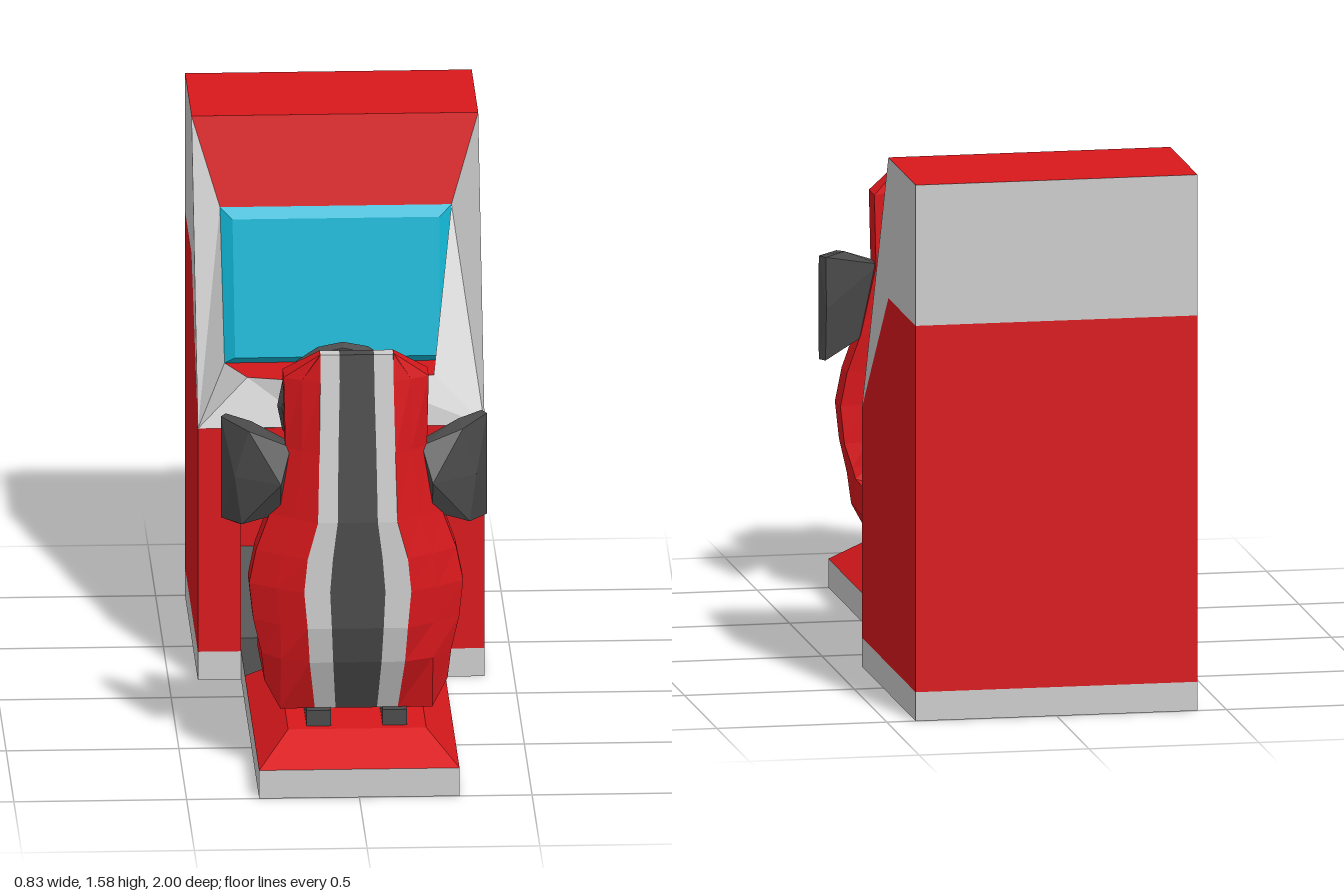
import * as THREE from 'three';
import { ConvexGeometry } from 'three/addons/geometries/ConvexGeometry.js';

const mat = (color) => new THREE.MeshStandardMaterial({ color, flatShading: true, side: THREE.DoubleSide });
const RED = mat(0xd8181c), GREY = mat(0xcccccc), DARK = mat(0x4a4a4a), TEAL = mat(0x10b4d2);

const flip = (pts) => pts.map(([x, y, z]) => [-x, y, z]).reverse();

// Geometry from flat convex polygons, each split as a fan
function fans(polys) {
  const pos = [];
  for (const p of polys)
    for (let i = 1; i < p.length - 1; i++) pos.push(...p[0], ...p[i], ...p[i + 1]);
  const g = new THREE.BufferGeometry();
  g.setAttribute('position', new THREE.Float32BufferAttribute(pos, 3));
  g.computeVertexNormals();
  return g;
}

function add(parent, name, geometry, material, x = 0, y = 0, z = 0) {
  const m = new THREE.Mesh(geometry, material);
  m.name = name;
  m.position.set(x, y, z);
  parent.add(m);
  return m;
}

const panels = (parent, name, material, ...polys) => add(parent, name, fans(polys), material);
const pair = (parent, name, material, ...polys) =>
  panels(parent, name, material, ...polys, ...polys.map(flip));
// Polygon symmetric about x = 0, given its +x half from bottom to top
const sym = (...half) => [...half, ...flip(half)];

function buildCabinet() {
  const g = new THREE.Group();
  g.name = 'cabinet';
  const W = 0.415, F = -0.17, B = -1, Y0 = 0.085, P = 0.29, PT = 0.575, PB = -0.57;

  add(g, 'cabinetBase', new THREE.BoxGeometry(0.83, Y0, 0.83), [GREY, GREY, DARK, RED, GREY, GREY], 0, Y0 / 2, -0.585);

  // Outer shell
  pair(g, 'sideLower', RED, [[W, Y0, F], [W, Y0, B], [W, 1.165, B], [W, 1.165, -0.58], [W, 0.76, F]]);
  pair(g, 'sideUpper', GREY, [[W, 0.76, F], [W, 1.165, -0.58], [W, 1.58, -0.58]],
    [[W, 1.165, -0.58], [W, 1.165, B], [W, 1.58, B], [W, 1.58, -0.58]]);
  panels(g, 'backLower', RED, [[W, Y0, B], [-W, Y0, B], [-W, 1.165, B], [W, 1.165, B]]);
  panels(g, 'backUpper', GREY, [[W, 1.165, B], [-W, 1.165, B], [-W, 1.58, B], [W, 1.58, B]]);
  panels(g, 'roof', RED, [[-W, 1.58, -0.58], [W, 1.58, -0.58], [W, 1.58, B], [-W, 1.58, B]]);

  // Front with the footwell opening
  pair(g, 'frontPost', RED, [[P, Y0, F], [W, Y0, F], [W, PT, F], [P, PT, F]]);
  panels(g, 'frontUpper', RED, [[-W, PT, F], [W, PT, F], [W, 0.76, F], [-W, 0.76, F]]);

  // Monitor bay: marquee, cheeks, bulged screen and console
  const A = [W, 1.58, -0.58], T = [0.335, 1.32, -0.525], C = [W, 0.76, F];
  const D = [0.325, 0.87, -0.455], E = [0.27, 0.9, -0.215];
  const K = [0.08, 0.91, -0.13], L = [0.08, 0.78, -0.11];
  const S = [0.3, 1.29, -0.5], R = [0.295, 0.89, -0.437];
  panels(g, 'marquee', RED, sym(T, A));
  pair(g, 'innerCheek', GREY, [A, T, C], [T, D, E, C]);
  panels(g, 'screen', TEAL, sym(R, S), sym(S, T), sym(D, R), [R, D, T, S], flip([R, D, T, S]));
  panels(g, 'console', RED, sym(K, E, D));
  pair(g, 'dashboard', GREY, [C, E, K, L]);
  panels(g, 'steeringCowl', GREY, sym(L, K), sym(C, L));

  // Footwell lining, ramp and pedals
  const wall = (y0, y1) => [[P, y0, F], [P, y1, F], [P, y1, PB], [P, y0, PB]];
  pair(g, 'footwellSideUpper', RED, wall(0.33, PT));
  pair(g, 'footwellSideLower', DARK, wall(Y0, 0.33));
  panels(g, 'footwellBack', RED, [[-P, Y0, PB], [P, Y0, PB], [P, PT, PB], [-P, PT, PB]]);
  panels(g, 'footwellCeiling', RED, [[-P, PT, PB], [P, PT, PB], [P, PT, F], [-P, PT, F]]);
  panels(g, 'footRamp', DARK, [[-P, Y0, -0.3], [P, Y0, -0.3], [P, 0.28, PB], [-P, 0.28, PB]]);
  for (const [name, x, w, len] of [['brakePedal', -0.1, 0.17, 0.22], ['acceleratorPedal', 0.15, 0.13, 0.18]]) {
    const pad = add(g, name, new THREE.BoxGeometry(w, 0.06, len), DARK, x, 0.25, -0.36);
    pad.rotation.x = 0.85;
    add(g, name + 'Arm', new THREE.BoxGeometry(0.06, 0.06, 0.18), DARK, x, 0.22, -0.47);
  }
  return g;
}

function buildWheel() {
  const g = new THREE.Group();
  g.name = 'steeringWheel';
  g.position.set(0, 0.86, -0.065);
  add(g, 'wheelRim', new THREE.TorusGeometry(0.165, 0.025, 6, 16), DARK);
  add(g, 'wheelHub', new THREE.CylinderGeometry(0.055, 0.055, 0.03, 8).rotateX(Math.PI / 2), DARK);
  add(g, 'wheelColumn', new THREE.CylinderGeometry(0.035, 0.075, 0.05, 8).rotateX(Math.PI / 2), DARK, 0, -0.01, -0.035);
  for (const a of [0, Math.PI, -Math.PI / 2]) {
    const s = add(g, 'wheelSpoke', new THREE.BoxGeometry(0.13, 0.07, 0.022), DARK, 0.1 * Math.cos(a), 0.1 * Math.sin(a), 0);
    s.rotation.z = a;
  }
  return g;
}

function buildPlatform() {
  const g = new THREE.Group();
  g.name = 'platform';
  add(g, 'platformBase', new THREE.BoxGeometry(0.58, 0.085, 1.17), [GREY, GREY, DARK, RED, GREY, GREY], 0, 0.0425, 0.415);
  // Tapered plinth under the seat
  const a = [0.29, 0.085, 1], b = [0.29, 0.085, 0.07], c = [0.2, 0.165, 0.86], d = [0.2, 0.165, 0.21];
  panels(g, 'plinth', RED, sym(a, c), sym(d, b), sym(c, d), [a, b, d, c], flip([a, b, d, c]));
  for (const x of [-0.11, 0.11])
    add(g, 'seatRail', new THREE.BoxGeometry(0.07, 0.05, 0.58), DARK, x, 0.187, 0.54);
  return g;
}

function buildSeat() {
  const g = new THREE.Group();
  g.name = 'seat';
  // Stations from headrest to cushion front: half widths [edge, shoulder, stripe, centre stripe],
  // then [z, y] of inner edge, inner centre, side edge and outer shell, and the shoulder's rounding
  const back = (y, w, gx, dx, out) =>
    [[w, (w + gx) / 2, gx, dx], [0.71, y], [0.765, y], [0.795, y], [out, y], 0.45];
  const stations = [
    [[0.107, 0.106, 0.105, 0.05], [0.795, 1.29], [0.795, 1.29], [0.83, 1.29], [0.84, 1.29], 0.5],
    back(1.21, 0.21, 0.106, 0.05, 0.85),
    back(1.0, 0.205, 0.11, 0.055, 0.875),
    back(0.8, 0.25, 0.115, 0.058, 0.9),
    back(0.69, 0.29, 0.145, 0.072, 0.9),
    back(0.59, 0.31, 0.155, 0.08, 0.9),
    back(0.48, 0.298, 0.145, 0.075, 0.9),
    [[0.275, 0.22, 0.138, 0.07], [0.71, 0.41], [0.76, 0.4], [0.795, 0.38], [0.875, 0.37], 0.35],
    [[0.265, 0.22, 0.12, 0.06], [0.71, 0.375], [0.73, 0.345], [0.78, 0.29], [0.8, 0.21], 0],
    [[0.27, 0.22, 0.12, 0.06], [0.45, 0.375], [0.45, 0.345], [0.45, 0.29], [0.45, 0.21], 0],
    [[0.14, 0.135, 0.12, 0.06], [0.23, 0.375], [0.23, 0.37], [0.23, 0.29], [0.31, 0.21], 0],
  ];
  const mix = (a, b, t) => [a[0] + (b[0] - a[0]) * t, a[1] + (b[1] - a[1]) * t];
  const row = (xs, zy) => {
    const half = xs.map((x, i) => [x, zy[i][1], zy[i][0]]);
    return [...half, ...flip(half)];
  };
  const rings = stations.map(([xs, edge, mid, side, out, k]) => ({
    outer: row(xs, [side, mix(out, side, k), out, out]),
    inner: row(xs, [edge, mix(mid, edge, 0.5), mid, mid]),
  }));

  // Lengthwise strips, closed at both ends, sorted by colour
  const strips = new Map([[RED, []], [GREY, []], [DARK, []]]);
  [RED, RED, GREY, DARK, GREY, RED, RED].forEach((m, i) => {
    const list = strips.get(m);
    for (let s = 0; s < rings.length - 1; s++) {
      const p = rings[s], q = rings[s + 1];
      list.push([p.outer[i], p.outer[i + 1], q.outer[i + 1], q.outer[i]]);
      list.push([p.inner[i + 1], p.inner[i], q.inner[i], q.inner[i + 1]]);
    }
    const t = rings[0], e = rings[rings.length - 1];
    list.push([t.inner[i], t.inner[i + 1], t.outer[i + 1], t.outer[i]]);
    list.push([e.outer[i], e.outer[i + 1], e.inner[i + 1], e.inner[i]]);
  });
  for (let s = 0; s < rings.length - 1; s++) {
    const p = rings[s], q = rings[s + 1];
    const side = [p.inner[0], p.outer[0], q.outer[0], q.inner[0]];
    strips.get(RED).push(side, flip(side));
  }
  panels(g, 'seatShell', RED, ...strips.get(RED));
  panels(g, 'seatStripe', GREY, ...strips.get(GREY));
  panels(g, 'seatCentreStripe', DARK, ...strips.get(DARK));

  // Angled side wings beside the head
  const wing = [
    [0.19, 1.0, 0.74], [0.19, 1.0, 0.8], [0.22, 0.8, 0.74], [0.22, 0.8, 0.8], [0.22, 0.9, 0.85],
    [0.3, 1.05, 0.7], [0.31, 1.04, 0.77], [0.34, 0.745, 0.71], [0.33, 0.76, 0.77], [0.35, 0.9, 0.76],
    [0.37, 1.05, 0.62], [0.385, 1.05, 0.65], [0.37, 0.745, 0.625], [0.385, 0.745, 0.65],
    [0.37, 0.9, 0.61], [0.385, 0.9, 0.655],
  ];
  for (const s of [1, -1])
    add(g, s > 0 ? 'leftHeadWing' : 'rightHeadWing',
      new ConvexGeometry(wing.map(([x, y, z]) => new THREE.Vector3(s * x, y, z))), DARK);
  return g;
}

export function createModel() {
  const model = new THREE.Group();
  model.name = 'drivingArcadeMachine';
  model.add(buildCabinet(), buildWheel(), buildPlatform(), buildSeat());
  return model;
}
